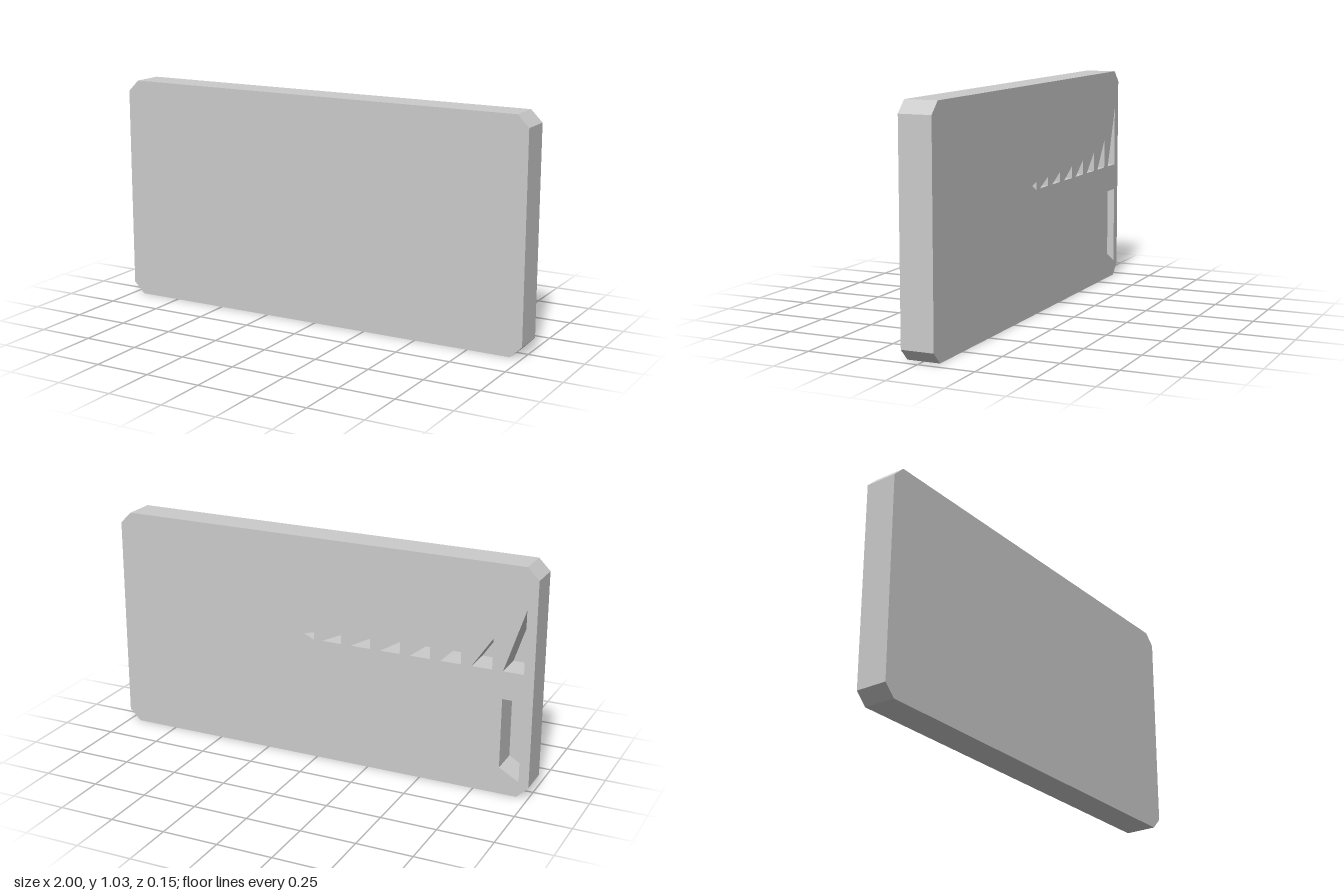
import * as THREE from 'three';

const HEIGHT = 1.033, DEPTH = 0.146, CHAMFER = 0.052, PLATE = 0.01;

const polygon = (points, Type = THREE.Shape) =>
  new Type(points.map(([x, y]) => new THREE.Vector2(x, y)));

// Rectangle with four cut corners
function slabOutline() {
  const c = CHAMFER, h = HEIGHT;
  return polygon([
    [-1 + c, 0], [1 - c, 0], [1, c], [1, h - c],
    [1 - c, h], [-1 + c, h], [-1, h - c], [-1, c],
  ]);
}

function extrudedPart(name, shape, depth, z, material) {
  const geometry = new THREE.ExtrudeGeometry(shape, { depth, bevelEnabled: false });
  const mesh = new THREE.Mesh(geometry, material);
  mesh.name = name;
  mesh.position.z = z;
  return mesh;
}

export function createModel() {
  const group = new THREE.Group();
  group.name = 'slab';
  const material = new THREE.MeshStandardMaterial({ color: 0xcccccc, flatShading: true });
  const body = slabOutline();

  // Row of right-angled triangular pockets, shrinking towards the middle
  const base = 0.565, width = 0.092, pitch = 0.14;
  [0.847, 0.702, 0.655, 0.635, 0.62, 0.613, 0.607].forEach((top, i) => {
    const x = -0.955 + i * pitch;
    body.holes.push(polygon([[x, base], [x, top], [x + width, base]], THREE.Path));
  });
  // Smallest pocket at the end of the row
  body.holes.push(polygon([[0.015, 0.563], [0.015, 0.6], [0.063, 0.587]], THREE.Path));
  // Tall pocket with a sloping bottom
  body.holes.push(polygon(
    [[-0.955, 0.072], [-0.955, 0.44], [-0.865, 0.44], [-0.865, 0.122]], THREE.Path));

  // Pocketed body, closed at the front by a thin plate
  group.add(extrudedPart('pocketedBody', body, DEPTH - PLATE, -DEPTH / 2, material));
  group.add(extrudedPart('frontPlate', slabOutline(), PLATE, DEPTH / 2 - PLATE, material));
  return group;
}
